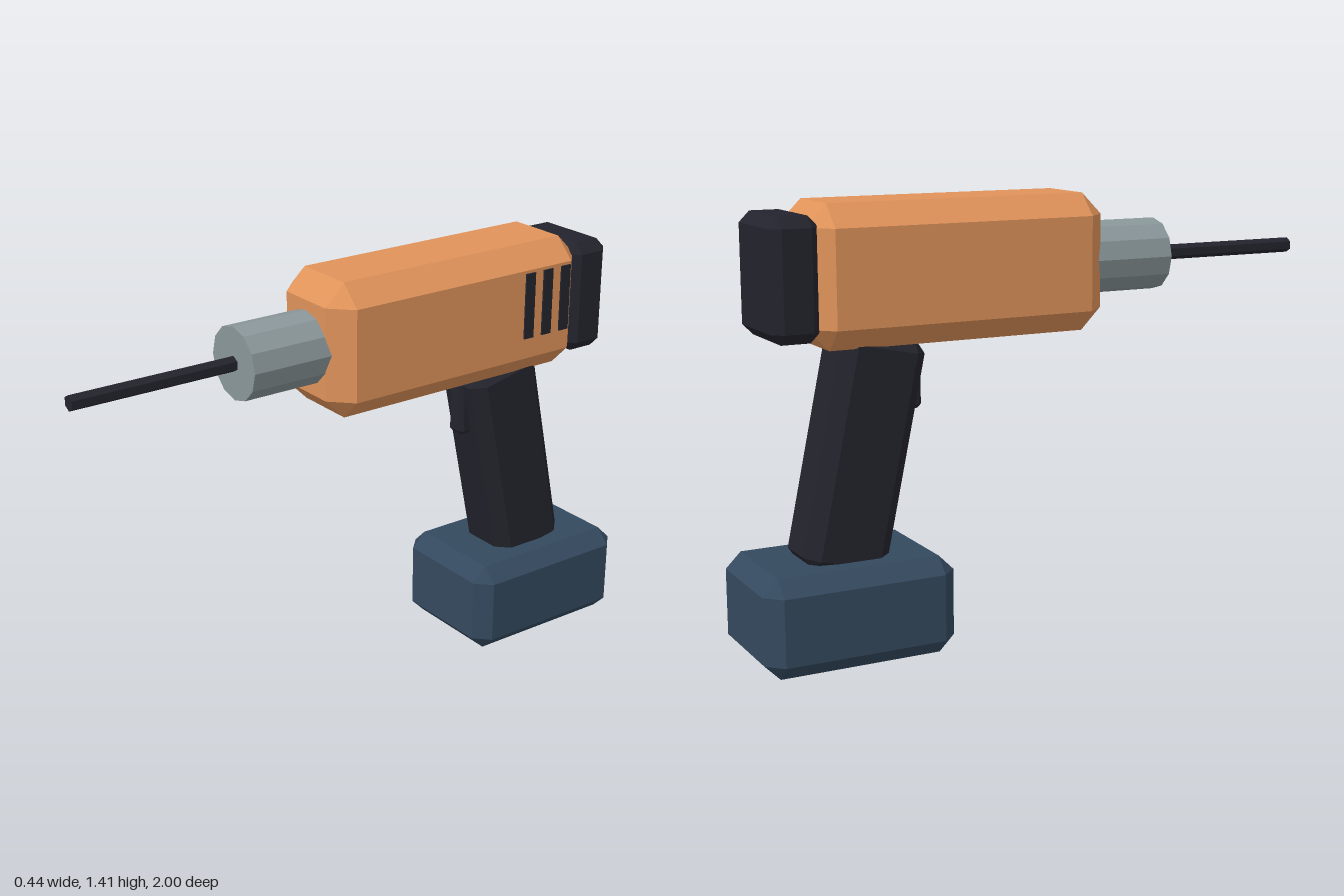
import * as THREE from 'three';
import { ConvexGeometry } from 'three/addons/geometries/ConvexGeometry.js';

const material = (name, color) => {
  const m = new THREE.MeshStandardMaterial({ color, flatShading: true });
  m.name = name;
  return m;
};

// Box with every edge cut by a flat bevel b
function bevelBox(w, h, d, b) {
  const points = [];
  for (const x of [-1, 1]) for (const y of [-1, 1]) for (const z of [-1, 1]) {
    const [X, Y, Z] = [w / 2, h / 2, d / 2];
    points.push(
      new THREE.Vector3(x * X, y * (Y - b), z * (Z - b)),
      new THREE.Vector3(x * (X - b), y * Y, z * (Z - b)),
      new THREE.Vector3(x * (X - b), y * (Y - b), z * Z));
  }
  return new ConvexGeometry(points);
}

export function createModel() {
  const group = new THREE.Group();
  group.name = 'cordlessDrill';

  const orange = material('orange housing', 0xe0935a);
  const dark = material('dark grip', 0x23232d);
  const blue = material('blue battery', 0x34495e);
  const steel = material('grey metal', 0x8a979a);

  const add = (name, geometry, mat, x, y, z) => {
    const mesh = new THREE.Mesh(geometry, mat);
    mesh.name = name;
    mesh.position.set(x, y, z);
    group.add(mesh);
    return mesh;
  };
  // Faceted rod along z between two depths
  const rod = (name, radius, sides, z0, z1, mat) => add(name,
    new THREE.CylinderGeometry(radius, radius, z1 - z0, sides).rotateX(Math.PI / 2),
    mat, 0, 1.19, (z0 + z1) / 2);

  // Motor housing and rear cap
  add('motorHousing', bevelBox(0.346, 0.438, 1.0, 0.069), orange, 0, 1.19, -0.313);
  add('rearCap', bevelBox(0.31, 0.375, 0.16, 0.034), dark, 0, 1.19, -0.855);

  // Chuck and drill bit
  rod('chuck', 0.118, 12, 0.1, 0.45, steel);
  rod('drillBit', 0.025, 6, 0.4, 1.0, dark);

  // Leaning handle and its trigger
  const handle = add('handle', bevelBox(0.22, 0.754, 0.28, 0.042), dark, 0, 0.634, -0.624);
  handle.rotation.x = THREE.MathUtils.degToRad(12);
  add('trigger', bevelBox(0.07, 0.185, 0.1, 0.012), dark, 0, 0.847, -0.462);

  // Battery pack
  add('battery', bevelBox(0.436, 0.313, 0.625, 0.05), blue, 0, 0.1565, -0.6875);

  // Cooling vents on the left side
  for (let i = 0; i < 3; i++) {
    add('vent' + (i + 1), new THREE.BoxGeometry(0.009, 0.22, 0.038), dark,
      0.1745, 1.22, -0.569 - i * 0.075);
  }
  return group;
}
